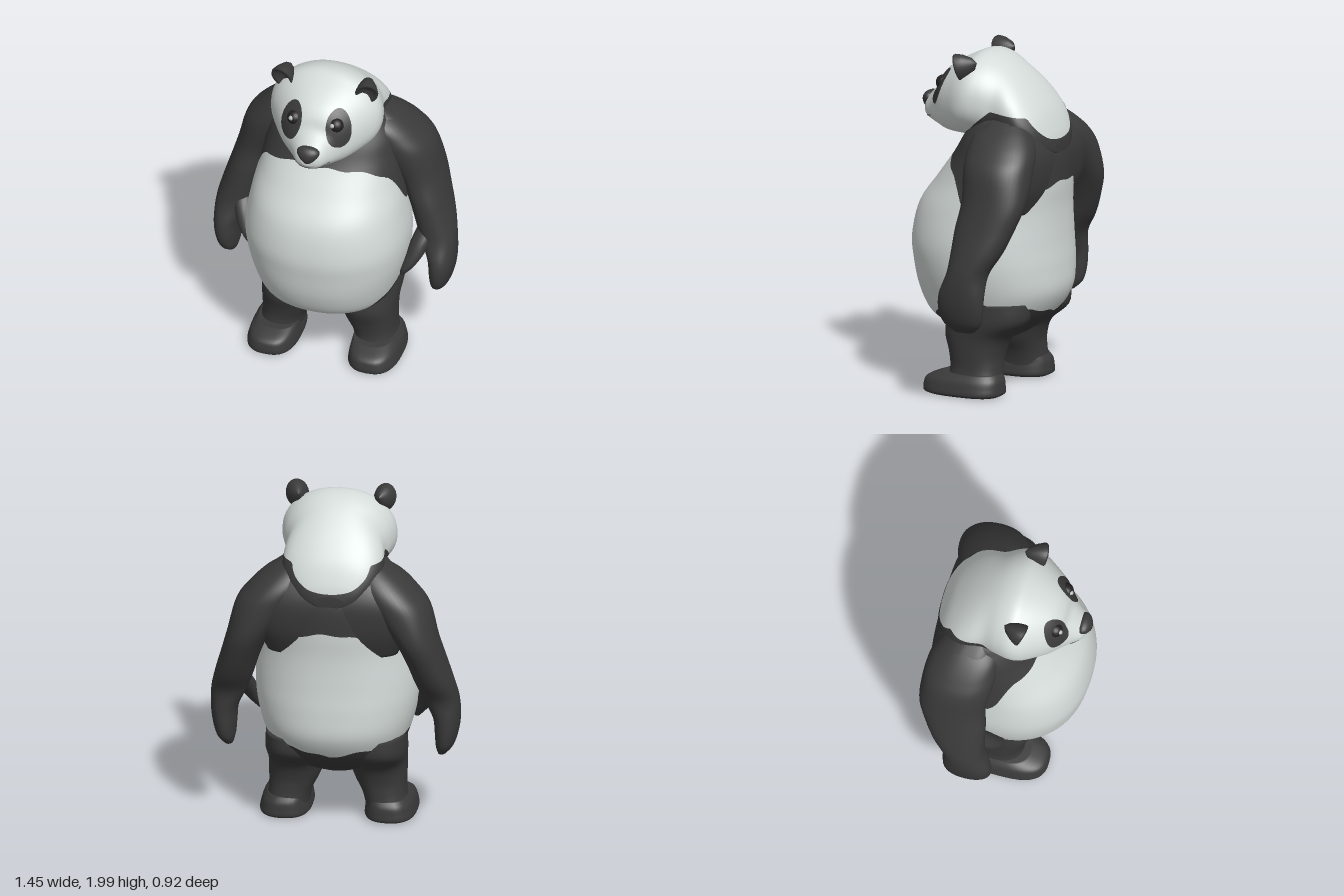
import * as THREE from 'three';

const mat = (name, hex) => {
  const m = new THREE.MeshStandardMaterial({ color: hex });
  m.name = name;
  return m;
};
const white = mat('white fur', 0xd3dad8);
const black = mat('black fur', 0x3a3a3a);
const eyeDark = mat('eye dark', 0x232120);
const eyeShine = mat('eye shine', 0xb4baba);

const cubic = (a, b, c, d, t) =>
  b + 0.5 * t * (c - a + t * (2 * a - 5 * b + 4 * c - d + t * (3 * (b - c) + d - a)));

// Smooth skin through rings [cx, cy, cz, rx, r2], ordered upward (or forward if alongZ).
// With a field, the skin is cut where it is zero: black where positive, white elsewhere.
function loft(name, rings, { steps = 5, sides = 40, power = 2, alongZ = false, egg = 0, field = null } = {}) {
  const pos = [], at = i => rings[Math.min(Math.max(i, 0), rings.length - 1)];
  const rows = (rings.length - 1) * steps + 1;
  for (let r = 0; r < rows; r++) {
    const i = Math.min(Math.floor(r / steps), rings.length - 2), t = r / steps - i;
    const [cx, cy, cz, rx, r2] = at(i).map((_, k) =>
      cubic(at(i - 1)[k], at(i)[k], at(i + 1)[k], at(i + 2)[k], t));
    for (let j = 0; j < sides; j++) {
      const a = j / sides * Math.PI * 2, c = Math.cos(a), s = Math.sin(a);
      const u = rx * Math.sign(c) * Math.abs(c) ** (2 / power) * (1 + egg * s);
      const v = r2 * Math.sign(s) * Math.abs(s) ** (2 / power);
      if (alongZ) pos.push(cx + u, cy - v, cz);
      else pos.push(cx + u, cy, cz + v);
    }
  }
  const first = rows * sides;
  pos.push(...rings[0].slice(0, 3), ...at(rings.length).slice(0, 3));

  const value = [];
  for (let i = 0; i < pos.length; i += 3) value.push(field ? field(pos[i], pos[i + 1], pos[i + 2]) : 1);
  const groups = [[], []], cuts = new Map();
  const cut = (a, b) => {
    const key = Math.min(a, b) + '_' + Math.max(a, b);
    if (!cuts.has(key)) {
      const t = value[a] / (value[a] - value[b]);
      cuts.set(key, pos.length / 3);
      for (let k = 0; k < 3; k++) pos.push(pos[a * 3 + k] * (1 - t) + pos[b * 3 + k] * t);
    }
    return cuts.get(key);
  };
  const tri = (...ids) => {
    const g = ids.map(i => (value[i] > 0 ? 0 : 1)), sum = g[0] + g[1] + g[2];
    if (sum % 3 === 0) return groups[g[0]].push(...ids);
    const k = g.indexOf(sum === 1 ? 1 : 0);
    const [p, q, r] = [ids[k], ids[(k + 1) % 3], ids[(k + 2) % 3]], m = cut(p, q), n = cut(p, r);
    groups[g[k]].push(p, m, n);
    groups[1 - g[k]].push(m, q, r, m, r, n);
  };
  for (let j = 0; j < sides; j++) {
    const k = (j + 1) % sides, last = (rows - 1) * sides;
    tri(first, j, k);
    for (let r = 0; r < rows - 1; r++) {
      const a = r * sides + j, b = r * sides + k;
      tri(a, a + sides, b);
      tri(b, a + sides, b + sides);
    }
    tri(first + 1, last + k, last + j);
  }
  const geo = new THREE.BufferGeometry();
  geo.setAttribute('position', new THREE.Float32BufferAttribute(pos, 3));
  geo.setIndex([...groups[0], ...groups[1]]);
  geo.addGroup(0, groups[0].length, 0);
  geo.addGroup(groups[0].length, groups[1].length, 1);
  geo.computeVertexNormals();
  const mesh = new THREE.Mesh(geo, field ? [black, white] : black);
  mesh.name = name;
  return mesh;
}

// White belly and back patch lie between a lower and an upper border
function torsoField(x, y, z) {
  const ax = Math.min(Math.abs(x) / 0.44, 1);
  const wobble = 0.006 * Math.sin(x * 31) + 0.005 * Math.sin(z * 43);
  const low = z > 0 ? 0.335 + 0.23 * ax ** 1.7 : 0.47 + 0.1 * ax;
  const front = THREE.MathUtils.smoothstep(z, -0.08, 0.09);
  const high = THREE.MathUtils.lerp(1.26 - 0.18 * ax ** 2, 1.385 - 0.12 * ax ** 4, front);
  return Math.max(low + wobble - y, y - high - wobble);
}

// Black shoulders climb the neck; tilted oval patches surround the eyes
function headField(x, y, z) {
  const line = THREE.MathUtils.mapLinear;
  const border = z > -0.13 ? line(z, -0.13, 0.1, 1.69, 1.5)
    : z > -0.33 ? line(z, -0.33, -0.13, 1.655, 1.68) : line(z, -0.44, -0.33, 1.5, 1.655);
  const dx = Math.abs(x) - 0.143, dy = y - 1.765;
  const u = dx * 0.95 + dy * 0.28, v = dy * 0.95 - dx * 0.28;
  const eye = z > 0.12 ? 0.1 * (1 - Math.hypot(u / 0.064, v / 0.108)) : -1;
  return Math.max(border - y, eye);
}

export function createModel() {
  const model = new THREE.Group();
  model.name = 'panda';
  const add = (name, geo, material) => {
    const m = new THREE.Mesh(geo, material);
    m.name = name;
    model.add(m);
    return m;
  };

  // Torso: [height, half width, front z, back z]
  const torso = [
    [0.29, 0.1, 0.05, -0.12], [0.34, 0.24, 0.17, -0.22], [0.4, 0.32, 0.27, -0.3],
    [0.47, 0.385, 0.36, -0.38], [0.6, 0.435, 0.42, -0.45], [0.75, 0.47, 0.447, -0.455],
    [0.9, 0.477, 0.457, -0.445], [1.09, 0.45, 0.412, -0.44], [1.25, 0.42, 0.3, -0.45],
    [1.4, 0.4, 0.19, -0.445], [1.5, 0.38, 0.13, -0.415], [1.58, 0.33, 0.08, -0.36],
    [1.64, 0.27, 0.03, -0.3], [1.68, 0.15, -0.08, -0.24],
  ].map(([y, w, f, b]) => [0, y, (f + b) / 2, w, (f - b) / 2]);
  model.add(loft('torso', torso, { steps: 6, sides: 96, power: 2.2, field: torsoField }));

  // Broad upper back joining both arms
  model.add(loft('shoulders', [
    [0, 1.1, -0.24, 0.38, 0.14], [0, 1.22, -0.245, 0.44, 0.18], [0, 1.33, -0.24, 0.49, 0.2],
    [0, 1.42, -0.235, 0.49, 0.203], [0, 1.5, -0.22, 0.45, 0.193], [0, 1.58, -0.2, 0.37, 0.165],
    [0, 1.64, -0.18, 0.28, 0.12],
  ], { sides: 64, power: 3 }));

  // Head and neck: [z, top y, bottom y, half width]
  const headRings = [
    [-0.44, 1.49, 1.42, 0.08], [-0.42, 1.56, 1.42, 0.16], [-0.37, 1.67, 1.42, 0.235], [-0.3, 1.765, 1.42, 0.285],
    [-0.22, 1.85, 1.45, 0.293], [-0.13, 1.925, 1.47, 0.285], [-0.05, 1.97, 1.49, 0.312],
    [0.03, 1.985, 1.495, 0.332], [0.1, 1.96, 1.485, 0.32], [0.18, 1.92, 1.483, 0.272],
    [0.25, 1.875, 1.488, 0.222], [0.295, 1.825, 1.5, 0.178], [0.325, 1.765, 1.51, 0.145],
    [0.365, 1.72, 1.523, 0.11], [0.41, 1.67, 1.547, 0.075], [0.43, 1.63, 1.575, 0.035],
  ].map(([z, t, b, w]) => [0, (t + b) / 2, z, w, (t - b) / 2]);
  const head = loft('head', headRings, { steps: 6, sides: 96, power: 2.2, alongZ: true, egg: 0.08, field: headField });
  model.add(head);

  // Finds the face surface at a given x and y
  const ray = new THREE.Raycaster();
  const onFace = (x, y, lift = 0) => {
    ray.set(new THREE.Vector3(x, y, 2), new THREE.Vector3(0, 0, -1));
    return new THREE.Vector3(x, y, ray.intersectObject(head)[0].point.z + lift);
  };

  // Nose: ball narrowed toward the bottom
  const noseGeo = new THREE.SphereGeometry(1, 24, 16);
  const np = noseGeo.attributes.position;
  for (let i = 0; i < np.count; i++) np.setX(i, np.getX(i) * (0.78 + 0.36 * np.getY(i)));
  noseGeo.scale(0.08, 0.055, 0.045);
  noseGeo.computeVertexNormals();
  const nose = add('nose', noseGeo, black);
  nose.position.set(0, 1.642, 0.412);
  nose.rotation.x = -0.2;

  // Mouth line
  const mouthPoints = [];
  for (let i = -6; i <= 6; i++) mouthPoints.push(onFace(i * 0.019, 1.553 + 0.022 * (i / 6) ** 2));
  add('mouth', new THREE.TubeGeometry(new THREE.CatmullRomCurve3(mouthPoints), 36, 0.0035, 6), black);

  // Cupped ear profile, spun around its forward axis
  const earProfile = [[0, -0.1], [0.035, -0.075], [0.062, -0.03], [0.076, 0.01], [0.073, 0.022],
    [0.06, 0.015], [0.035, -0.005], [0, -0.012]].map(([r, h]) => new THREE.Vector2(r, h));
  const earGeo = new THREE.LatheGeometry(earProfile, 28).rotateX(Math.PI / 2).scale(0.88, 1.08, 1);

  for (const s of [1, -1]) {
    const side = s > 0 ? 'left' : 'right';
    const limb = (name, rings, options) =>
      model.add(loft(side + name, rings.map(([x, ...rest]) => [x * s, ...rest]), options));

    const ear = add(side + 'Ear', earGeo, black);
    ear.position.set(0.253 * s, 1.92, 0.085);
    ear.rotation.set(0.3, 0.2 * s, -0.2 * s);

    // Eye with a small highlight
    const eye = add(side + 'Eye', new THREE.SphereGeometry(0.045, 20, 14), eyeDark);
    eye.position.copy(onFace(0.125 * s, 1.782, -0.028));
    const shine = add(side + 'EyeShine', new THREE.SphereGeometry(0.015, 10, 8), eyeShine);
    shine.position.copy(eye.position).add(new THREE.Vector3(-0.013, 0.014, 0.034));

    limb('Arm', [
      [0.62, 0.45, -0.13, 0.025, 0.06], [0.635, 0.5, -0.125, 0.052, 0.115], [0.645, 0.58, -0.12, 0.068, 0.14],
      [0.645, 0.68, -0.125, 0.08, 0.14], [0.615, 0.8, -0.15, 0.105, 0.125], [0.58, 0.92, -0.19, 0.113, 0.155],
      [0.54, 1.05, -0.22, 0.115, 0.18], [0.485, 1.2, -0.25, 0.128, 0.195], [0.395, 1.38, -0.235, 0.17, 0.207],
      [0.325, 1.48, -0.22, 0.165, 0.2], [0.262, 1.56, -0.2, 0.14, 0.17], [0.22, 1.62, -0.2, 0.09, 0.11],
    ], { power: 2.2 });
    limb('Thumb', [
      [0.452, 0.605, 0.03, 0.016, 0.02], [0.476, 0.655, 0.015, 0.038, 0.042],
      [0.51, 0.725, -0.02, 0.052, 0.055], [0.54, 0.81, -0.075, 0.058, 0.065], [0.575, 0.9, -0.15, 0.06, 0.06],
    ], { sides: 20 });
    limb('Leg', [
      [0.285, 0.04, -0.03, 0.12, 0.16], [0.285, 0.1, -0.03, 0.125, 0.16], [0.27, 0.17, -0.03, 0.13, 0.155],
      [0.25, 0.25, -0.025, 0.15, 0.165], [0.237, 0.35, -0.03, 0.165, 0.2],
      [0.245, 0.45, -0.09, 0.165, 0.25], [0.25, 0.56, -0.1, 0.155, 0.25],
    ], { power: 2.3 });
    limb('Foot', [
      [0.305, 0.005, 0.033, 0.125, 0.22], [0.305, 0.02, 0.033, 0.15, 0.243], [0.303, 0.06, 0.033, 0.146, 0.243],
      [0.3, 0.1, 0.025, 0.136, 0.23], [0.287, 0.135, -0.01, 0.122, 0.175],
    ], { power: 2.7 });
  }
  return model;
}
